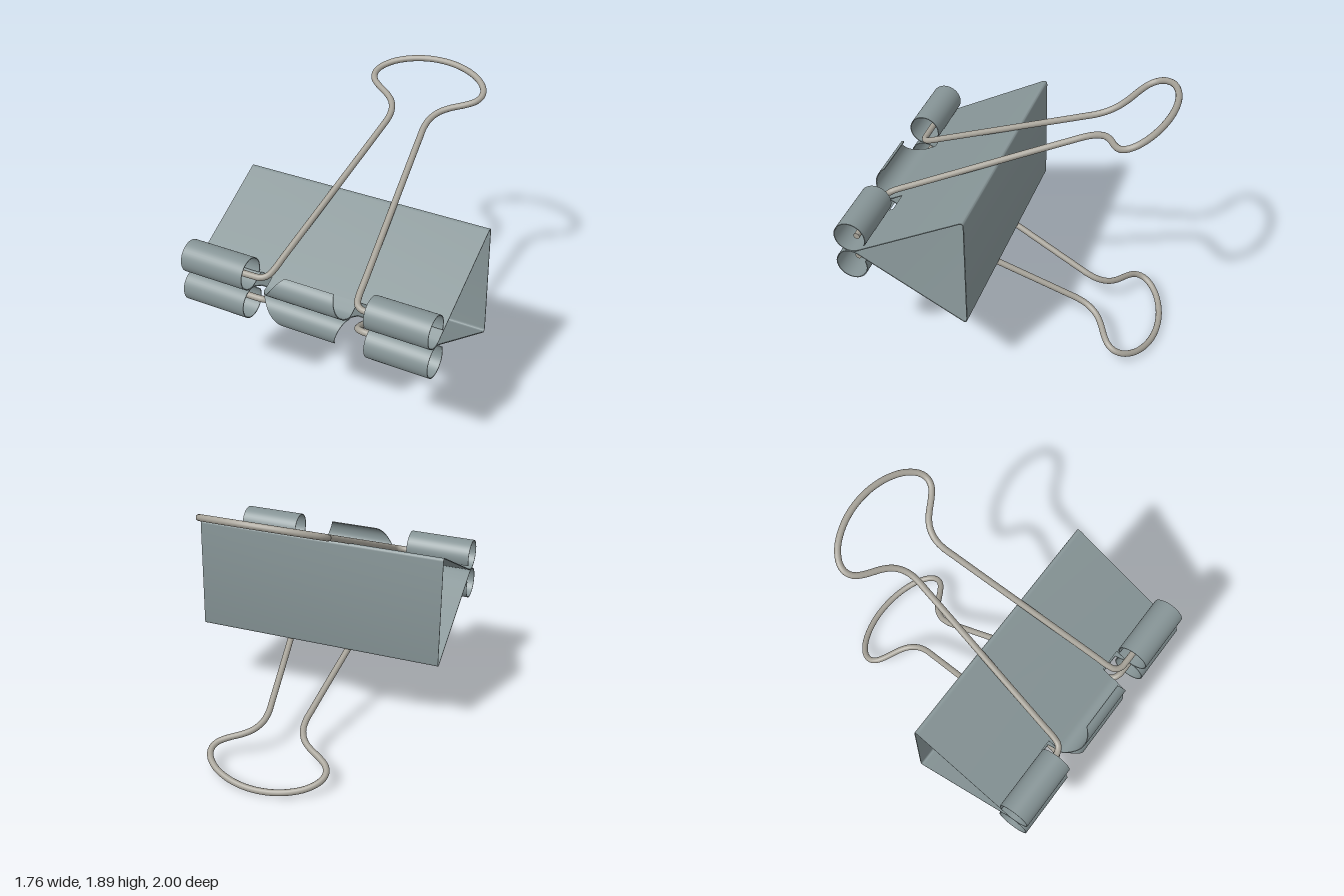
import * as THREE from 'three';
import { toCreasedNormals } from 'three/addons/utils/BufferGeometryUtils.js';

const MID = 0.955;      // height of the mirror plane between the two jaws
const HALF = 0.88;      // half width of the clip
const THICK = 0.003;    // half thickness of the sheet

// Bent sheet: path points are { z, y, l, r }, l and r being the side edges in x
function sheet(path) {
  const pos = [], idx = [], n = path.length;
  path.forEach((p, i) => {
    const a = path[Math.max(i - 1, 0)], b = path[Math.min(i + 1, n - 1)];
    const len = Math.hypot(b.z - a.z, b.y - a.y);
    const nz = -(b.y - a.y) / len * THICK, ny = (b.z - a.z) / len * THICK;
    pos.push(p.l, p.y + ny, p.z + nz, p.r, p.y + ny, p.z + nz);
    pos.push(p.r, p.y - ny, p.z - nz, p.l, p.y - ny, p.z - nz);
  });
  for (let i = 0; i < n - 1; i++) {
    for (let k = 0; k < 4; k++) {
      const a = i * 4 + k, b = i * 4 + (k + 1) % 4;
      idx.push(a, a + 4, b + 4, a, b + 4, b);
    }
  }
  const e = (n - 1) * 4;
  idx.push(0, 1, 2, 0, 2, 3, e, e + 2, e + 1, e, e + 3, e + 2);
  const geo = new THREE.BufferGeometry();
  geo.setAttribute('position', new THREE.Float32BufferAttribute(pos, 3));
  geo.setIndex(idx);
  return toCreasedNormals(geo, 0.6);
}

// Mirror a path to the lower jaw, reversed so its outside stays outside
const mirrored = path => path.map(p => ({ ...p, y: 2 * MID - p.y })).reverse();

export function createModel() {
  const model = new THREE.Group();
  const steel = new THREE.MeshStandardMaterial({ color: 0x869496, side: THREE.DoubleSide });
  steel.name = 'blue grey steel';
  const wire = new THREE.MeshStandardMaterial({ color: 0xa6a298 });
  wire.name = 'warm grey wire';

  const add = (name, geo, mat) => {
    const mesh = new THREE.Mesh(geo, mat);
    mesh.name = name;
    model.add(mesh);
  };

  // Jaw line: from the back corner, tangent to the curl circle
  const corner = { z: 0.112, y: 1.365 }, curl = { z: 0.893, y: 1.064, rad: 0.106 };
  const dz = curl.z - corner.z, dy = curl.y - corner.y;
  const slope = Math.atan2(dy, dz) - Math.asin(curl.rad / Math.hypot(dz, dy));
  const onJaw = d => ({ z: corner.z + d * Math.cos(slope), y: corner.y + d * Math.sin(slope) });
  const tangent = onJaw(Math.sqrt(dz * dz + dy * dy - curl.rad ** 2));
  const notch = onJaw((0.775 - corner.z) / Math.cos(slope));

  // Body: back wall with rounded corners and both sloping jaws
  const c = onJaw(0.035);
  const bend = new THREE.QuadraticBezierCurve(
    new THREE.Vector2(corner.z, corner.y - 0.035),
    new THREE.Vector2(corner.z, corner.y),
    new THREE.Vector2(c.z, c.y));
  const upper = bend.getPoints(8).map(p => ({ z: p.x, y: p.y }));
  upper.push(notch);
  const full = upper.map(p => ({ ...p, l: -HALF, r: HALF }));
  add('body', sheet([...mirrored(full), ...full]), steel);

  // Strip that leaves the jaw at the notch and rolls around to the angle end
  const rolled = (rad, end, steps, edges) => {
    const cz = tangent.z - rad * Math.sin(slope), cy = tangent.y + rad * Math.cos(slope);
    const path = [{ ...notch, ...edges(0) }];
    for (let i = 0; i <= steps; i++) {
      const t = slope + (end - slope) * i / steps;
      path.push({ z: cz + rad * Math.sin(t), y: cy - rad * Math.cos(t), ...edges(Math.max(0, t / end)) });
    }
    return path;
  };
  const rad = THREE.MathUtils.degToRad;
  const strips = {
    RightCurl: rolled(curl.rad, rad(295), 40, () => ({ l: -HALF, r: -0.42 })),
    LeftCurl: rolled(curl.rad, rad(295), 40, () => ({ l: 0.45, r: HALF })),
    // Middle lip, tapering as it rolls up
    MiddleLip: rolled(0.095, rad(153), 24, t => ({ l: -0.33 + 0.19 * t, r: 0.29 - 0.08 * t })),
  };
  for (const [name, path] of Object.entries(strips)) {
    add('upper' + name, sheet(path), steel);
    add('lower' + name, sheet(mirrored(path)), steel);
  }

  // Wire handles: half outline in (x, z), mirrored in x and lying in a tilted plane
  const half = [
    [0.82, 0.872], [0.6, 0.872], [0.42, 0.872], [0.365, 0.868], [0.325, 0.843], [0.307, 0.79],
    [0.295, 0.7], [0.222, 0.18], [0.148, -0.35], [0.137, -0.44], [0.145, -0.51], [0.18, -0.575],
    [0.235, -0.622], [0.34, -0.682], [0.39, -0.722], [0.41, -0.77], [0.395, -0.825],
    [0.33, -0.89], [0.235, -0.938], [0.12, -0.969],
  ];
  const outline = [...half, [0, -0.979], ...half.map(([x, z]) => [-x, z]).reverse()];
  for (const [name, s] of [['upperHandle', 1], ['lowerHandle', -1]]) {
    const pts = outline.map(([x, z]) =>
      new THREE.Vector3(x, MID + s * (0.081 + (0.872 - z) * 0.4557), z));
    const curve = new THREE.CatmullRomCurve3(pts, false, 'centripetal');
    add(name, new THREE.TubeGeometry(curve, 260, 0.0215, 14), wire);
    // Flat wire ends
    for (const side of [1, -1]) {
      const cap = new THREE.CircleGeometry(0.0215, 14);
      cap.rotateY(side * Math.PI / 2);
      const end = side > 0 ? pts[0] : pts[pts.length - 1];
      cap.translate(end.x, end.y, end.z);
      add(name + (side > 0 ? 'LeftEnd' : 'RightEnd'), cap, wire);
    }
  }
  return model;
}
